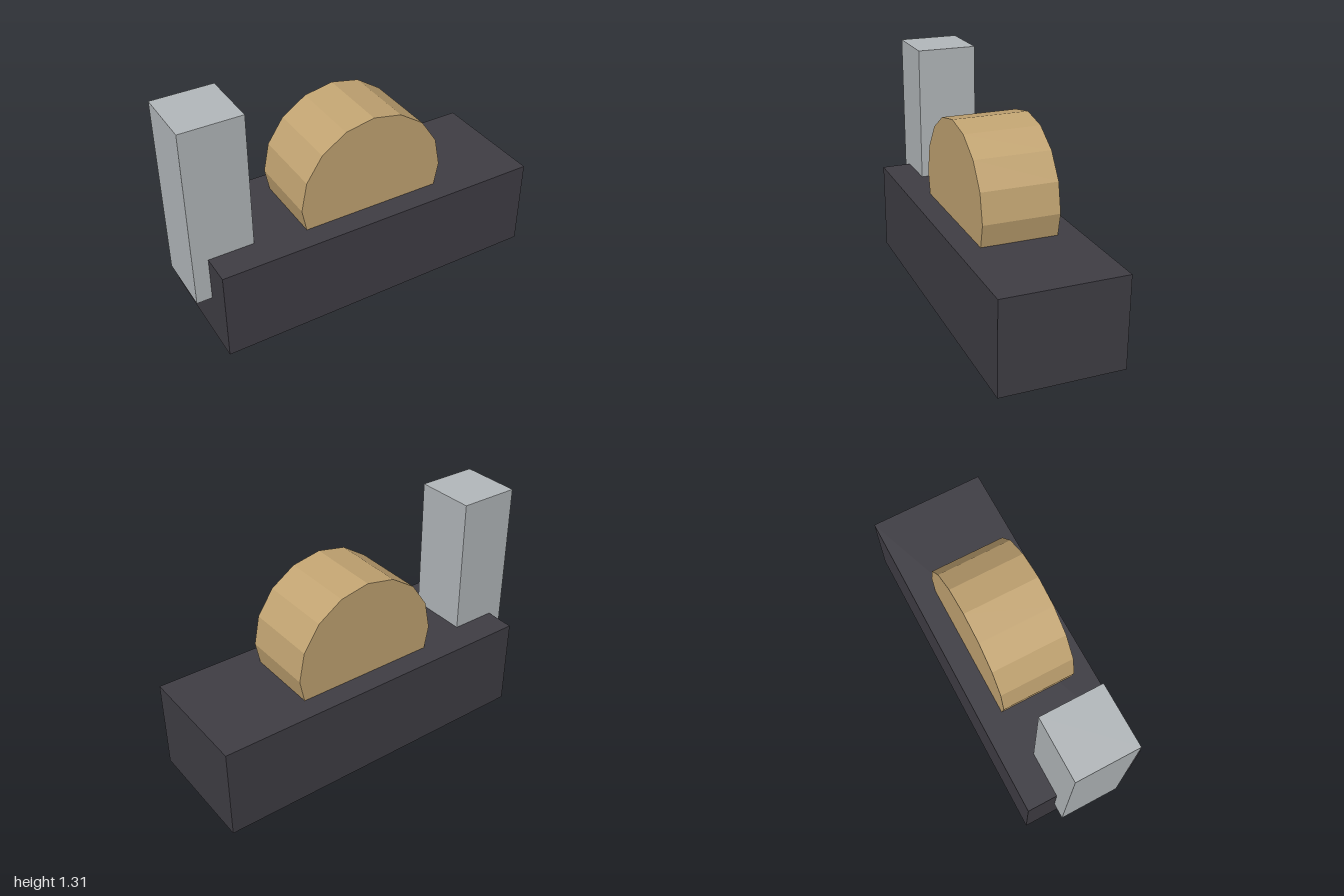
import * as THREE from 'three';

export function createModel() {
  const model = new THREE.Group();

  const material = (name, color) => {
    const m = new THREE.MeshStandardMaterial({ color, flatShading: true });
    m.name = name;
    return m;
  };
  const charcoal = material('charcoal', 0x3f3d44);
  const tan = material('tan', 0xc2a472);
  const silver = material('silver', 0xb3b8bb);

  const add = (name, geometry, mat, x, y) => {
    const mesh = new THREE.Mesh(geometry, mat);
    mesh.name = name;
    mesh.position.set(x, y, 0);
    model.add(mesh);
    return mesh;
  };

  // Long block standing on the ground
  add('base', new THREE.BoxGeometry(1.913, 0.524, 0.694), charcoal, 0.0435, 0.262);

  // Sixteen-sided drum lying front to back, sunk into the block
  const drum = new THREE.CylinderGeometry(0.434, 0.434, 0.434, 16).rotateX(Math.PI / 2);
  add('drum', drum, tan, 0.042, 0.655);

  // Upright post set into the right end, overhanging it slightly
  add('post', new THREE.BoxGeometry(0.346, 1.04, 0.348), silver, -0.827, 0.786);

  return model;
}
